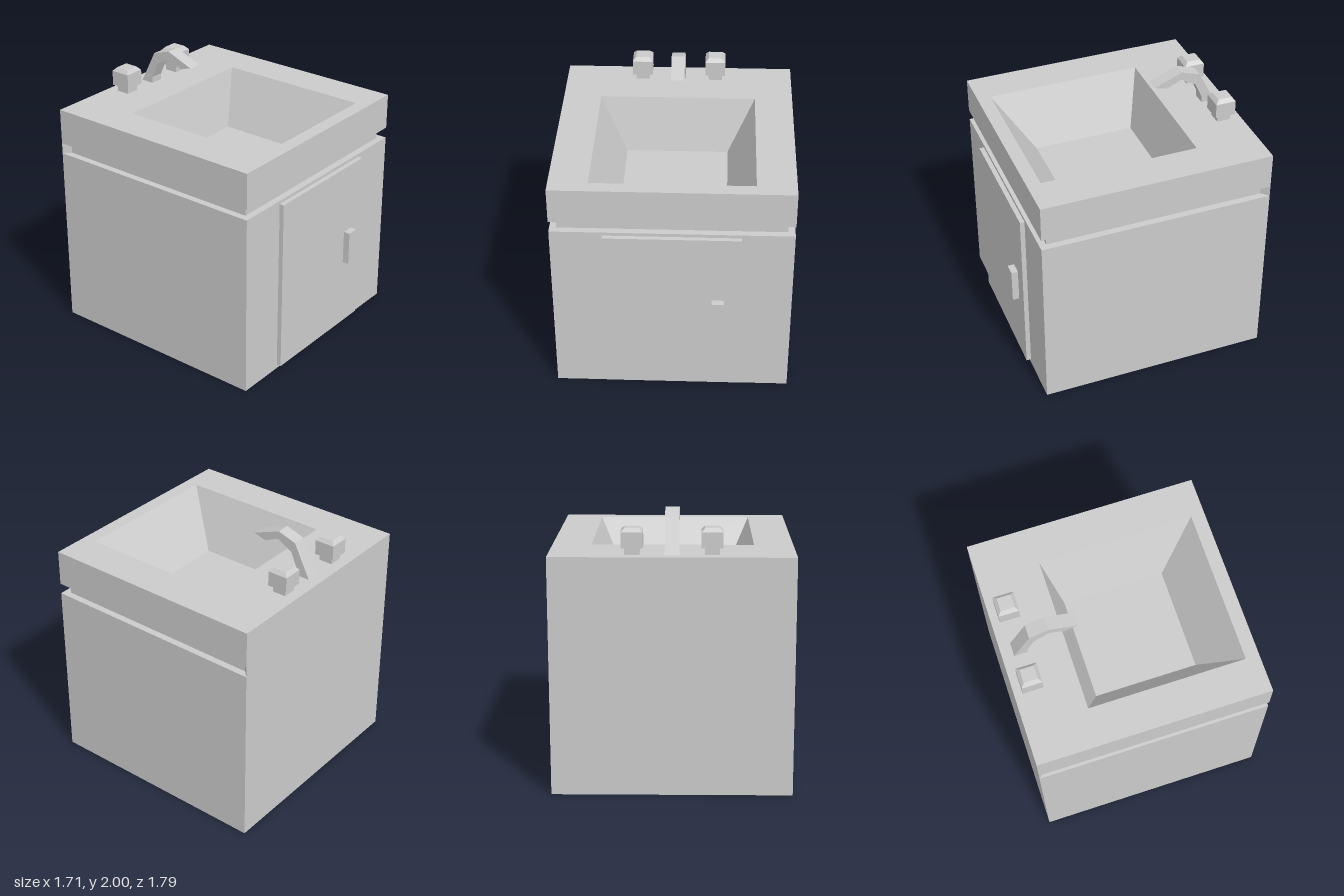
import * as THREE from 'three';

const material = new THREE.MeshStandardMaterial({ color: 0xcccccc, flatShading: true });

// Rectangular ring at height y, with an extra point on each side near the back
function ring(y, x0, x1, zBack, zFront, zSide = zBack) {
  return [[x0, zFront], [x1, zFront], [x1, zSide], [x1, zBack], [x0, zBack], [x0, zSide]]
    .map(([x, z]) => new THREE.Vector3(x, y, z));
}

// Skin a stack of rings, optionally closing the first and last one
function loft(rings, capStart, capEnd) {
  const pos = [];
  const tri = (a, b, c) => {
    if (new THREE.Triangle(a, b, c).getArea() > 1e-7) pos.push(...a, ...b, ...c);
  };
  const n = rings[0].length;
  for (let i = 0; i < rings.length - 1; i++) {
    const lo = rings[i], hi = rings[i + 1];
    for (let j = 0; j < n; j++) {
      const k = (j + 1) % n;
      tri(lo[j], lo[k], hi[k]);
      tri(lo[j], hi[k], hi[j]);
    }
  }
  const last = rings[rings.length - 1];
  for (let j = 1; j < n - 1; j++) {
    if (capStart) tri(rings[0][0], rings[0][j + 1], rings[0][j]);
    if (capEnd) tri(last[0], last[j], last[j + 1]);
  }
  const geo = new THREE.BufferGeometry();
  geo.setAttribute('position', new THREE.Float32BufferAttribute(pos, 3));
  geo.computeVertexNormals();
  return geo;
}

export function createModel() {
  const group = new THREE.Group();
  const add = (name, geo, x = 0, y = 0, z = 0) => {
    const mesh = new THREE.Mesh(geo, material);
    mesh.name = name;
    mesh.position.set(x, y, z);
    group.add(mesh);
    return mesh;
  };

  const W = 0.853, BACK = -0.893, FRONT = 0.813, SIDE = -0.843;
  const outer = (y) => ring(y, -W, W, BACK, FRONT, SIDE);

  // Recessed neck: its sides splay out to meet the flush back wall
  const neck = (y) => {
    const r = ring(y, -0.803, 0.803, BACK, 0.763, SIDE);
    r[3].x = W;
    r[4].x = -W;
    return r;
  };
  const opening = ring(1.71, -0.575, 0.575, -0.437, 0.713);

  // Body: cabinet, countertop and sunken basin share their rims
  add('cabinet', loft([outer(0), outer(1.365), neck(1.365), neck(1.445)], true, false));
  add('countertop', loft([neck(1.445), outer(1.445), outer(1.71), opening], false, false));
  add('basin', loft([opening, ring(1.305, -0.38, 0.38, -0.325, 0.433)], false, true));

  // Door and handle
  add('door', new THREE.BoxGeometry(0.97, 1.31, 0.034), 0, 0.685, 0.83);
  add('doorHandle', new THREE.BoxGeometry(0.09, 0.255, 0.05), 0.327, 0.683, 0.871);

  // Spout: side profile (z, y) extruded across x
  const profile = new THREE.Shape([
    [-0.81, 1.71], [-0.71, 1.71], [-0.71, 1.757], [-0.655, 1.875], [-0.54, 1.94],
    [-0.43, 1.89], [-0.335, 1.917], [-0.545, 2.0], [-0.685, 1.955],
  ].map(([z, y]) => new THREE.Vector2(-z, y)));
  const spout = new THREE.ExtrudeGeometry(profile, { depth: 0.1, bevelEnabled: false });
  spout.translate(0, 0, -0.05).rotateY(Math.PI / 2);
  add('spout', spout);

  // Tap knobs: stem, block and bevelled top
  const square = (y, h) => ring(y, -h, h, -h, h);
  const knob = loft([
    square(0, 0.051), square(0.05, 0.051), square(0.05, 0.075),
    square(0.16, 0.075), square(0.187, 0.05),
  ], true, true);
  for (const side of [-1, 1]) add(side > 0 ? 'leftTapKnob' : 'rightTapKnob', knob, side * 0.275, 1.71, -0.76);

  return group;
}
